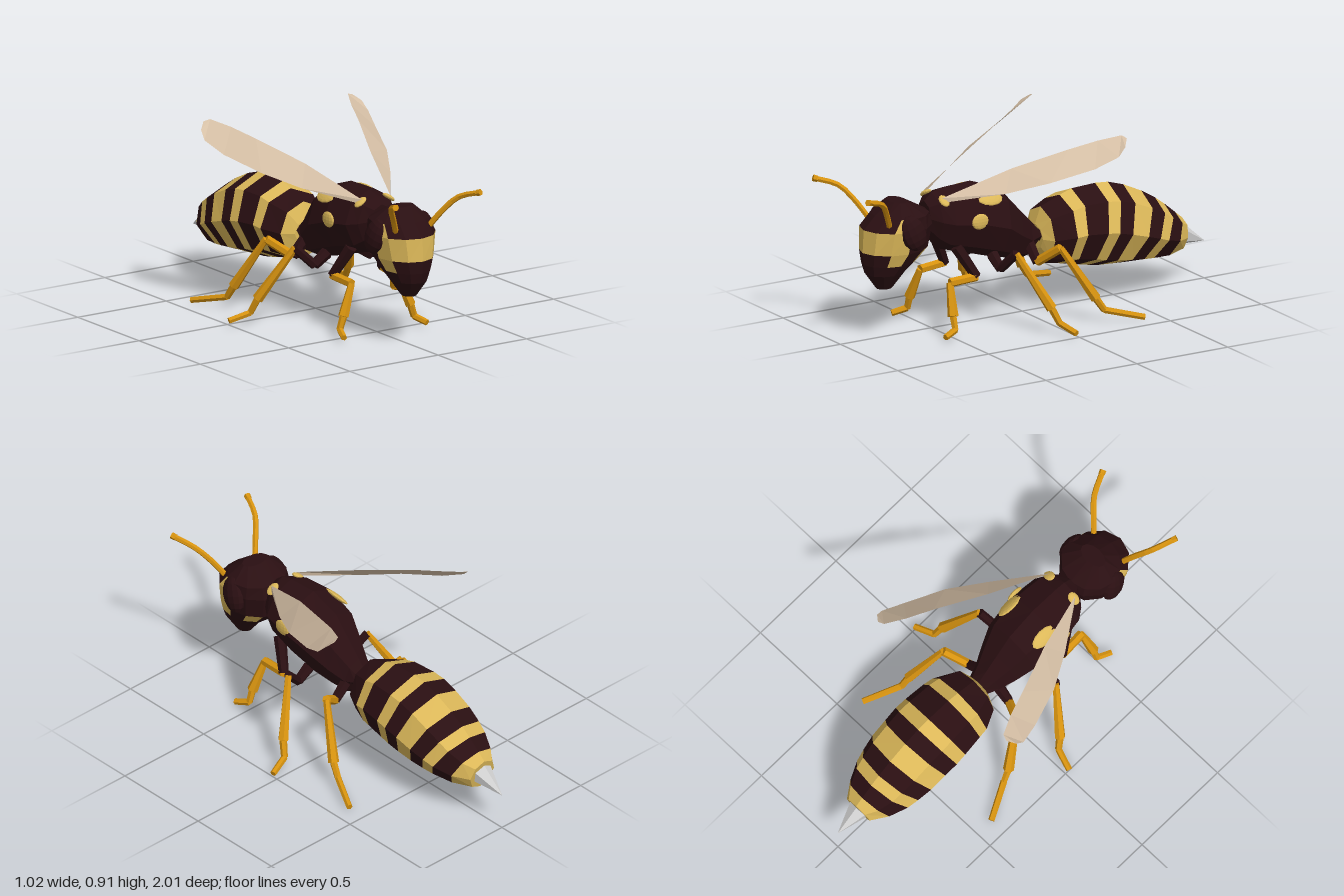
import * as THREE from 'three';

const V = (x, y, z) => new THREE.Vector3(x, y, z);

function makeMaterial(name, color, extra = {}) {
  const m = new THREE.MeshStandardMaterial({ color, flatShading: true, ...extra });
  m.name = name;
  return m;
}

function mesh(name, geometry, material) {
  const m = new THREE.Mesh(geometry, material);
  m.name = name;
  return m;
}

// Skins a list of closed rings; pick(i, j) returns 0 or 1 for each face's material group
function loft(rings, pick) {
  const faces = [[], []];
  const n = rings[0].length;
  for (let i = 0; i < rings.length - 1; i++) {
    for (let j = 0; j < n; j++) {
      const k = (j + 1) % n;
      const a = rings[i][j], b = rings[i][k], c = rings[i + 1][k], d = rings[i + 1][j];
      faces[pick(i, j)].push(a, b, c, a, c, d);
    }
  }
  const last = rings.length - 1;
  for (let j = 1; j < n - 1; j++) {
    faces[pick(0, j)].push(rings[0][0], rings[0][j + 1], rings[0][j]);
    faces[pick(last - 1, j)].push(rings[last][0], rings[last][j], rings[last][j + 1]);
  }
  const g = new THREE.BufferGeometry().setFromPoints([...faces[0], ...faces[1]]);
  g.addGroup(0, faces[0].length, 0);
  g.addGroup(faces[0].length, faces[1].length, 1);
  g.computeVertexNormals();
  return g;
}

// Upright ring given its top and bottom points and half width
function bodyRing([tz, ty, bz, by, w], n = 8) {
  return Array.from({ length: n }, (_, j) => {
    const a = (j / n) * Math.PI * 2, t = (1 + Math.cos(a)) / 2;
    return V(w * Math.sin(a), by + (ty - by) * t, bz + (tz - bz) * t);
  });
}

// Linear lookup in a table of [z, value], z falling
function lookup(table, z) {
  for (let i = 1; i < table.length; i++) {
    const [z0, v0] = table[i - 1], [z1, v1] = table[i];
    if (z >= z1) return v0 + (v1 - v0) * Math.min(Math.max((z0 - z) / (z0 - z1), 0), 1);
  }
  return table[table.length - 1][1];
}

// Tapered rod between two points
function rod(name, a, b, r0, r1, material) {
  const dir = b.clone().sub(a);
  const m = mesh(name, new THREE.CylinderGeometry(r1, r0, dir.length(), 6), material);
  m.position.copy(a).add(b).multiplyScalar(0.5);
  m.quaternion.setFromUnitVectors(V(0, 1, 0), dir.normalize());
  return m;
}

// Flattened ball, for eyes and shallow markings
function blob(name, position, scale, material, rotZ = 0, rotX = 0) {
  const m = mesh(name, new THREE.SphereGeometry(1, 12, 8), material);
  m.position.set(...position);
  m.scale.set(...scale);
  m.rotation.set(rotX, 0, rotZ);
  return m;
}

export function createModel() {
  const dark = makeMaterial('dark brown', 0x2a0f12);
  const yellow = makeMaterial('yellow', 0xdcb859);
  const orange = makeMaterial('orange', 0xd6920f);
  const wingTan = makeMaterial('wing tan', 0xd6c0a6, { side: THREE.DoubleSide });
  const grey = makeMaterial('sting grey', 0xd0d0d0);
  const model = new THREE.Group();
  model.name = 'wasp';

  // Abdomen: each ring is the border between two stripes, leaning back towards the tip
  const topY = [[-.07, .42], [-.1, .5], [-.26, .56], [-.445, .568], [-.6, .52], [-.75, .43], [-.88, .32]];
  const lowY = [[-.07, .3], [-.1, .225], [-.24, .2], [-.4, .165], [-.56, .155], [-.74, .15], [-.85, .165]];
  const width = [[-.07, .07], [-.1, .13], [-.2, .18], [-.4, .2], [-.6, .19], [-.75, .155], [-.865, .075]];
  const topZ = [-.07, -.1, -.205, -.27, -.4, -.47, -.555, -.655, -.73, -.78, -.84, -.88];
  const lowZ = [-.07, -.1, -.185, -.225, -.31, -.36, -.42, -.5, -.57, -.63, -.74, -.85];
  const abdomenRings = topZ.map((t, i) => bodyRing(
    [t, lookup(topY, t), lowZ[i], lookup(lowY, lowZ[i]), lookup(width, (t + lowZ[i]) / 2)]));
  model.add(mesh('abdomen', loft(abdomenRings, (i) => (i + 1) % 2), [dark, yellow]));
  model.add(rod('sting', V(0, .245, -.86), V(0, .19, -1), .055, .001, grey));

  // Thorax, narrowing to the waist
  const thoraxRings = [
    [.54, .63, .54, .48, .06], [.5, .665, .5, .42, .11], [.44, .68, .46, .385, .145],
    [.29, .688, .32, .345, .165], [.135, .635, .17, .3, .15], [.05, .54, .08, .28, .115],
    [-.02, .465, 0, .27, .08], [-.07, .41, -.06, .34, .06], [-.11, .42, -.11, .33, .06],
  ].map((r) => bodyRing(r));
  model.add(mesh('thorax', loft(thoraxRings, () => 0), [dark, yellow]));

  // Head: stacked rings of [y, front z, back z, half width], with a yellow face band
  const headRings = [
    [.245, .8, .72, .035], [.32, .855, .66, .085], [.37, .87, .6, .11], [.43, .878, .54, .135],
    [.54, .872, .52, .155], [.6, .81, .54, .145], [.66, .73, .65, .07],
  ].map(([y, f, b, w]) => Array.from({ length: 12 }, (_, j) => {
    const a = (j / 12) * Math.PI * 2;
    return V(w * Math.sin(a), y, (f + b) / 2 + (f - b) / 2 * Math.cos(a));
  }));
  const facePaint = (i, j) => {
    const k = Math.min(j, 11 - j);
    const painted = (i === 3 && k < 3) || (i === 2 && (k === 2 || k === 4)) || (i === 4 && k === 2);
    return painted ? 1 : 0;
  };
  model.add(mesh('head', loft(headRings, facePaint), [dark, yellow]));

  // Leg paths: body joint, hip, knee, shin end, ankle, toe
  const legs = {
    front: [[.09, .41, .42], [.14, .265, .34], [.13, .255, .48], [.19, .11, .5], [.21, .05, .5], [.235, .03, .57]],
    middle: [[.09, .34, .22], [.16, .29, .22], [.25, .38, .19], [.385, .13, .08], [.405, .06, .05], [.505, .03, .02]],
    hind: [[.05, .36, 0], [.13, .28, 0], [.24, .365, -.06], [.325, .12, -.2], [.335, .06, -.24], [.42, .02, -.41]],
  };
  const radii = [[.03, .024], [.022, .022], [.016, .026], [.018, .016], [.016, .015]];

  // Wing outline as pairs of upper and lower edge points
  const wingPairs = [
    [[.08, .655, .49], [.09, .635, .48]], [[.185, .775, .18], [.25, .68, .25]],
    [[.29, .855, -.07], [.355, .73, .07]], [[.34, .89, -.2], [.43, .785, -.13]],
    [[.39, .913, -.3], [.463, .835, -.24]], [[.42, .905, -.31], [.455, .875, -.28]],
  ];

  for (const [side, s] of [['left', 1], ['right', -1]]) {
    const at = ([x, y, z]) => V(s * x, y, z);

    // Legs
    for (const [place, path] of Object.entries(legs)) {
      const leg = new THREE.Group();
      leg.name = `${side} ${place} leg`;
      radii.forEach(([r0, r1], i) => {
        const isDark = i === 0 || (i === 1 && place === 'middle');
        leg.add(rod('leg segment', at(path[i]), at(path[i + 1]), r0, r1, isDark ? dark : orange));
      });
      model.add(leg);
    }

    // Wing
    const index = [];
    for (let i = 0; i < wingPairs.length - 1; i++) {
      const a = i * 2;
      index.push(a, a + 1, a + 3, a, a + 3, a + 2);
    }
    const wing = new THREE.BufferGeometry().setFromPoints(wingPairs.flat().map(at));
    wing.setIndex(s > 0 ? index : index.reverse());
    wing.computeVertexNormals();
    model.add(mesh(`${side} wing`, wing, wingTan));

    // Antenna
    const curve = new THREE.CatmullRomCurve3(
      [[.095, .57, .79], [.135, .64, .83], [.19, .715, .89], [.24, .755, 1]].map(at));
    model.add(mesh(`${side} antenna`, new THREE.TubeGeometry(curve, 8, .014, 6), orange));
    const end = curve.getPoint(1), back = curve.getPoint(.94);
    model.add(rod(`${side} antenna tip`, back, end, .015, .016, orange));

    // Eye and thorax markings
    model.add(blob(`${side} eye`, [s * .135, .53, .685], [.04, .088, .065], dark, s * .15, .35));
    model.add(blob(`${side} flank spot`, [s * .158, .535, .33], [.012, .038, .045], yellow));
    model.add(blob(`${side} shoulder stripe`, [s * .112, .625, .25], [.04, .012, .07], yellow, -s * .8, -.1));
    model.add(blob(`${side} collar mark`, [s * .08, .64, .48], [.035, .012, .025], yellow, -s * .6));
  }
  return model;
}
